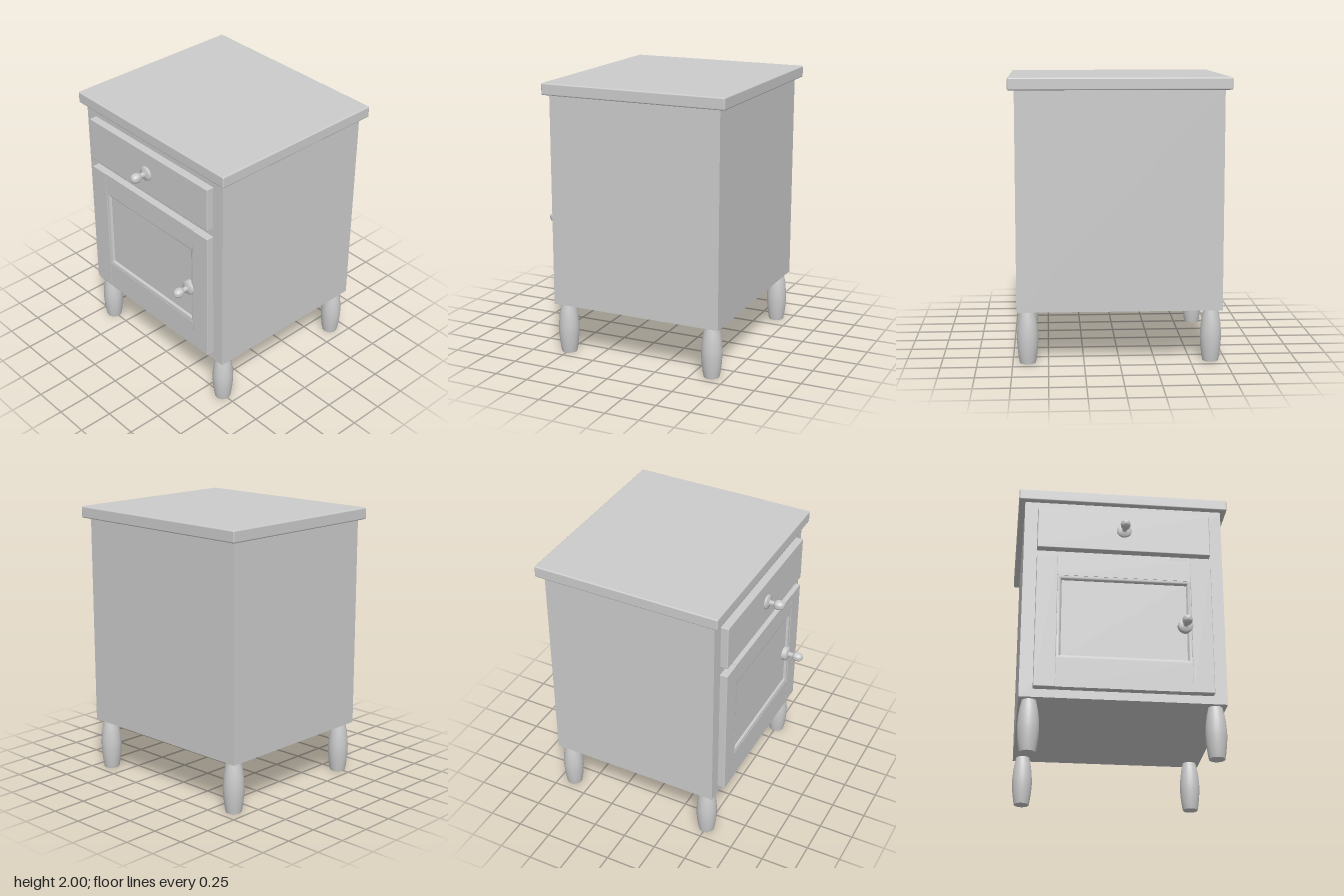
import * as THREE from 'three';
import { RoundedBoxGeometry } from 'three/addons/geometries/RoundedBoxGeometry.js';
import { toCreasedNormals } from 'three/addons/utils/BufferGeometryUtils.js';

const material = new THREE.MeshStandardMaterial({ color: 0xcccccc });

function add(parent, name, geometry) {
  const mesh = new THREE.Mesh(geometry, material);
  mesh.name = name;
  parent.add(mesh);
  return mesh;
}

// Box given by its limits, with optional softened edges
function box(parent, name, [x0, x1], [y0, y1], [z0, z1], radius = 0) {
  const size = [x1 - x0, y1 - y0, z1 - z0];
  const geometry = radius
    ? new RoundedBoxGeometry(...size, 2, radius)
    : new THREE.BoxGeometry(...size);
  const mesh = add(parent, name, geometry);
  mesh.position.set((x0 + x1) / 2, (y0 + y1) / 2, (z0 + z1) / 2);
  return mesh;
}

function lathe(points, segments) {
  const profile = points.map(([r, y]) => new THREE.Vector2(r, y));
  return toCreasedNormals(new THREE.LatheGeometry(profile, segments), 0.6);
}

// Rectangular moulding: nested rectangles stepping inward, each [inset, z]
function moulding(halfW, halfH, steps) {
  const positions = [];
  const index = [];
  for (const [inset, z] of steps) {
    const w = halfW - inset, h = halfH - inset;
    positions.push(-w, -h, z, w, -h, z, w, h, z, -w, h, z);
  }
  for (let s = 0; s < steps.length - 1; s++) {
    for (let i = 0; i < 4; i++) {
      const a = s * 4 + i, b = s * 4 + (i + 1) % 4;
      index.push(a, b, b + 4, a, b + 4, a + 4);
    }
  }
  const geometry = new THREE.BufferGeometry();
  geometry.setAttribute('position', new THREE.Float32BufferAttribute(positions, 3));
  geometry.setIndex(index);
  return toCreasedNormals(geometry, 0.5);
}

export function createModel() {
  const model = new THREE.Group();
  model.name = 'nightstand';

  // Carcass and overhanging top
  box(model, 'cabinetBody', [-0.72, 0.72], [0.375, 1.915], [-0.715, 0.575]);
  box(model, 'tableTop', [-0.765, 0.765], [1.915, 2], [-0.765, 0.615], 0.01);

  // Drawer front
  box(model, 'drawerFront', [-0.625, 0.625], [1.515, 1.845], [0.565, 0.63], 0.006);

  // Door: stiles, rails, recessed panel and its moulding
  const door = new THREE.Group();
  door.name = 'door';
  model.add(door);
  for (const s of [-1, 1]) {
    const xs = [s * 0.475, s * 0.625].sort((a, b) => a - b);
    box(door, s < 0 ? 'rightStile' : 'leftStile', xs, [0.435, 1.45], [0.565, 0.63], 0.004);
  }
  box(door, 'topRail', [-0.476, 0.476], [1.295, 1.45], [0.565, 0.629]);
  box(door, 'bottomRail', [-0.476, 0.476], [0.435, 0.65], [0.565, 0.629]);
  box(door, 'doorPanel', [-0.476, 0.476], [0.64, 1.305], [0.565, 0.61]);
  add(door, 'panelMoulding', moulding(0.475, 0.3225, [
    [0, 0.626], [0.015, 0.626], [0.022, 0.623], [0.028, 0.616], [0.032, 0.609],
  ])).position.y = 0.9725;

  // Turned knobs pointing forward
  const knobShape = lathe([
    [0, -0.025], [0.054, -0.025], [0.054, 0.008], [0.05, 0.012], [0.03, 0.016], [0.018, 0.02],
    [0.017, 0.054], [0.026, 0.06], [0.033, 0.07], [0.036, 0.085], [0.034, 0.102],
    [0.029, 0.115], [0.02, 0.124], [0.011, 0.13], [0, 0.131],
  ], 24);
  for (const [name, x, y] of [['drawerKnob', 0, 1.68], ['doorKnob', 0.43, 0.94]]) {
    const knob = add(model, name, knobShape);
    knob.rotation.x = Math.PI / 2;
    knob.position.set(x, y, 0.632);
  }

  // Turned legs
  const legShape = lathe([
    [0, 0], [0.056, 0], [0.062, 0.03], [0.071, 0.1], [0.075, 0.16],
    [0.075, 0.2], [0.07, 0.265], [0.062, 0.32], [0.05, 0.376], [0, 0.376],
  ], 24);
  for (const x of [-0.645, 0.645]) {
    for (const z of [0.5, -0.64]) {
      const name = (z > 0 ? 'front' : 'rear') + (x > 0 ? 'Left' : 'Right') + 'Leg';
      add(model, name, legShape).position.set(x, 0, z);
    }
  }

  return model;
}
